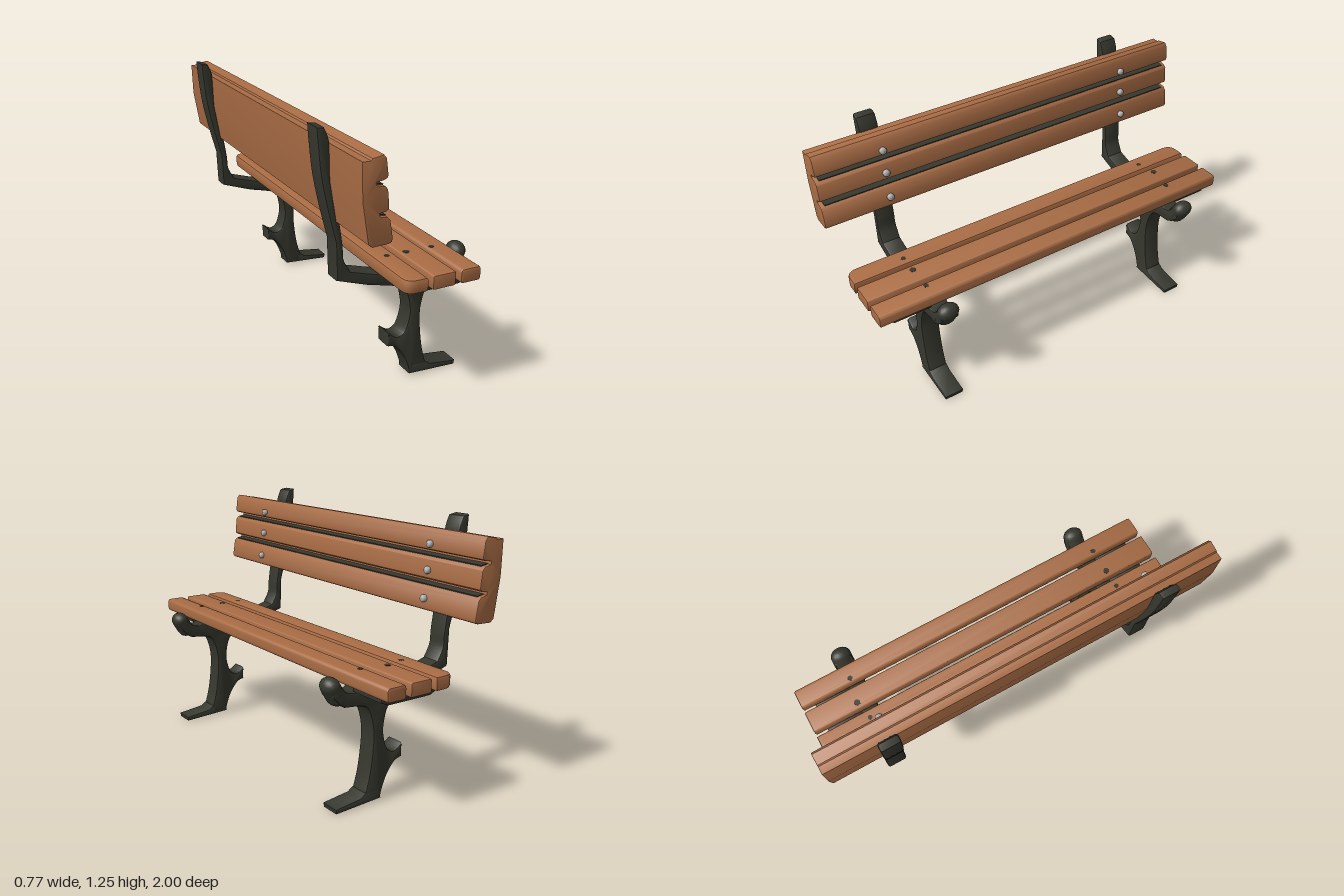
import * as THREE from 'three';
import { toCreasedNormals } from 'three/addons/utils/BufferGeometryUtils.js';

const wood = new THREE.MeshStandardMaterial({ color: 0xaa6d45 });
wood.name = 'warm wood';
const iron = new THREE.MeshStandardMaterial({ color: 0x36372e });
iron.name = 'dark cast iron';
const steel = new THREE.MeshStandardMaterial({ color: 0xb0b0b0 });
steel.name = 'bolt steel';

const vec = (pts) => pts.map(([x, y]) => new THREE.Vector2(x, y));

function add(parent, name, geometry, material, x = 0, y = 0, z = 0) {
  const mesh = new THREE.Mesh(geometry, material);
  mesh.name = name;
  mesh.position.set(x, y, z);
  parent.add(mesh);
  return mesh;
}

// Extrude an xy shape along z, centred on z = 0, with a softened rim
function extrude(shape, width, bevel, curveSegments = 4) {
  const g = new THREE.ExtrudeGeometry(shape, {
    depth: width - 2 * bevel, curveSegments, steps: 1,
    bevelSize: bevel, bevelThickness: bevel, bevelOffset: -bevel, bevelSegments: 2,
  });
  g.translate(0, 0, -width / 2 + bevel);
  return toCreasedNormals(g, 0.7);
}

// Rectangle with rounded corners
function roundedRect(w, h, r) {
  const s = new THREE.Shape(), x = w / 2, y = h / 2;
  s.moveTo(-x + r, -y);
  s.lineTo(x - r, -y).quadraticCurveTo(x, -y, x, -y + r);
  s.lineTo(x, y - r).quadraticCurveTo(x, y, x - r, y);
  s.lineTo(-x + r, y).quadraticCurveTo(-x, y, -x, y - r);
  s.lineTo(-x, -y + r).quadraticCurveTo(-x, -y, -x + r, -y);
  return s;
}

// Side outline of one cast support: leg, seat arm and back post
function supportShape() {
  const s = new THREE.Shape();
  s.moveTo(-0.386, 1.246);
  s.splineThru(vec([[-0.38, 1.165], [-0.365, 1.03], [-0.335, 0.885], [-0.297, 0.737]]));
  s.lineTo(-0.291, 0.562);
  s.lineTo(-0.128, 0.507);
  // back of the leg and its spur
  s.splineThru(vec([[0.003, 0.474], [0.053, 0.437], [0.073, 0.375], [0.076, 0.316], [0.055, 0.245], [0.026, 0.223], [0.003, 0.227], [-0.03, 0.25]]));
  s.lineTo(-0.031, 0.182);
  s.splineThru(vec([[0.01, 0.168], [0.053, 0.112], [0.08, 0.046], [0.086, 0.014]]));
  s.lineTo(0.174, 0.012);
  // front of the leg
  s.lineTo(0.174, 0.056);
  s.splineThru(vec([[0.151, 0.145], [0.135, 0.276], [0.138, 0.36], [0.161, 0.434], [0.194, 0.464], [0.29, 0.477]]));
  // end of the arm, under the knob
  s.splineThru(vec([[0.322, 0.498], [0.355, 0.54], [0.318, 0.575], [0.286, 0.546]]));
  s.lineTo(0.243, 0.536);
  s.lineTo(0.2, 0.556);
  s.lineTo(-0.095, 0.556);
  s.lineTo(-0.227, 0.595);
  // front of the back post
  s.splineThru(vec([[-0.258, 0.655], [-0.263, 0.72], [-0.28, 0.83], [-0.305, 0.93], [-0.322, 1.05], [-0.326, 1.174], [-0.35, 1.24]]));
  s.closePath();
  return s;
}

export function createModel() {
  const bench = new THREE.Group();
  bench.name = 'bench';

  // Cast iron supports, each with a foot, a round knob and a plate running outward under the seat
  const supportGeometry = extrude(supportShape(), 0.097, 0.011);
  const footGeometry = extrude(new THREE.Shape(vec([[0.086, 0.013], [0.332, 0], [0.336, 0.021], [0.2, 0.038], [0.174, 0.056], [0.1, 0.06]])), 0.097, 0.005);
  const plateGeometry = extrude(new THREE.Shape(vec([[-0.06, 0.559], [-0.06, 0.542], [-0.022, 0.525], [0.205, 0.525], [0.246, 0.542], [0.246, 0.559]])), 0.19, 0.004);
  const knobGeometry = new THREE.CapsuleGeometry(0.041, 0.06, 6, 16);
  for (const [side, z] of [['left', 0.68], ['right', -0.697]]) {
    const support = new THREE.Group();
    support.name = side + 'Support';
    bench.add(support);
    add(support, 'castFrame', supportGeometry, iron, 0, 0, z);
    add(support, 'foot', footGeometry, iron, 0, 0, z);
    add(support, 'seatPlate', plateGeometry, iron, 0, 0, z + Math.sign(z) * 0.13);
    const knob = add(support, 'armKnob', knobGeometry, iron, 0.324, 0.546, z);
    knob.rotation.z = -0.55;
    knob.scale.z = 1.28;
  }

  // Rear seat slat, with rounded outer corners in plan
  const rear = new THREE.Shape();
  const a = 0.051, b = 0.98, c = 0.055;
  rear.moveTo(a, -b);
  rear.lineTo(a, b);
  rear.lineTo(-a + c, b).quadraticCurveTo(-a, b, -a, b - c);
  rear.lineTo(-a, -b + c).quadraticCurveTo(-a, -b, -a + c, -b);
  add(bench, 'seatSlat1', extrude(rear, 0.065, 0.012, 6), wood, -0.05, 0.593, -0.004).rotation.x = -Math.PI / 2;

  // Middle and front seat slats
  add(bench, 'seatSlat2', extrude(roundedRect(0.113, 0.065, 0.009), 1.96, 0.008), wood, 0.083, 0.593, -0.004);
  add(bench, 'seatSlat3', extrude(roundedRect(0.1, 0.065, 0.017), 1.96, 0.008), wood, 0.215, 0.593, -0.004);

  // Dark screw heads, nearly flush with the seat
  for (const [x, r, zBack] of [[-0.04, 0.012, -0.713], [0.058, 0.016, -0.735], [0.188, 0.013, -0.71]]) {
    for (const z of [0.707, zBack]) {
      add(bench, 'seatScrew', new THREE.CylinderGeometry(r, r, 0.004, 8), iron, x, 0.6248, z);
    }
  }

  // Backrest: one solid board whose front is cut by two grooves into three rounded slats
  const back = new THREE.Shape(vec([
    [-0.331, 1.175], [-0.327, 1.016], [-0.298, 0.835], [-0.28, 0.82],
    // bottom slat
    [-0.206, 0.823], [-0.193, 0.829], [-0.189, 0.842], [-0.202, 0.922], [-0.216, 0.937], [-0.248, 0.943],
    // middle slat
    [-0.25, 0.956], [-0.222, 0.96], [-0.21, 0.969], [-0.209, 0.982], [-0.216, 1.05], [-0.23, 1.065], [-0.264, 1.071],
    // top slat
    [-0.265, 1.085], [-0.234, 1.089], [-0.219, 1.096], [-0.216, 1.108], [-0.225, 1.175], [-0.238, 1.191], [-0.288, 1.182], [-0.293, 1.174],
  ]));
  add(bench, 'backrest', extrude(back, 2, 0.004), wood);

  // Dark lining on the floor of both grooves
  for (const [x, y] of [[-0.246, 1.069], [-0.231, 0.941]]) {
    add(bench, 'grooveLining', new THREE.BoxGeometry(0.036, 0.005, 1.96), iron, x, y, 0).rotation.z = -0.17;
  }

  // Domed bolts through the backrest
  const bolt = new THREE.LatheGeometry(vec([[0.013, -0.02], [0.013, 0.006], [0.017, 0.008], [0.017, 0.02], [0.011, 0.027], [0, 0.028]]), 12);
  for (const [x, y] of [[-0.225, 1.12], [-0.216, 1.004], [-0.2, 0.878]]) {
    for (const z of [0.672, -0.682]) {
      add(bench, 'backBolt', bolt, steel, x, y, z).rotation.z = -Math.PI / 2 + 0.1;
    }
  }

  return bench;
}
